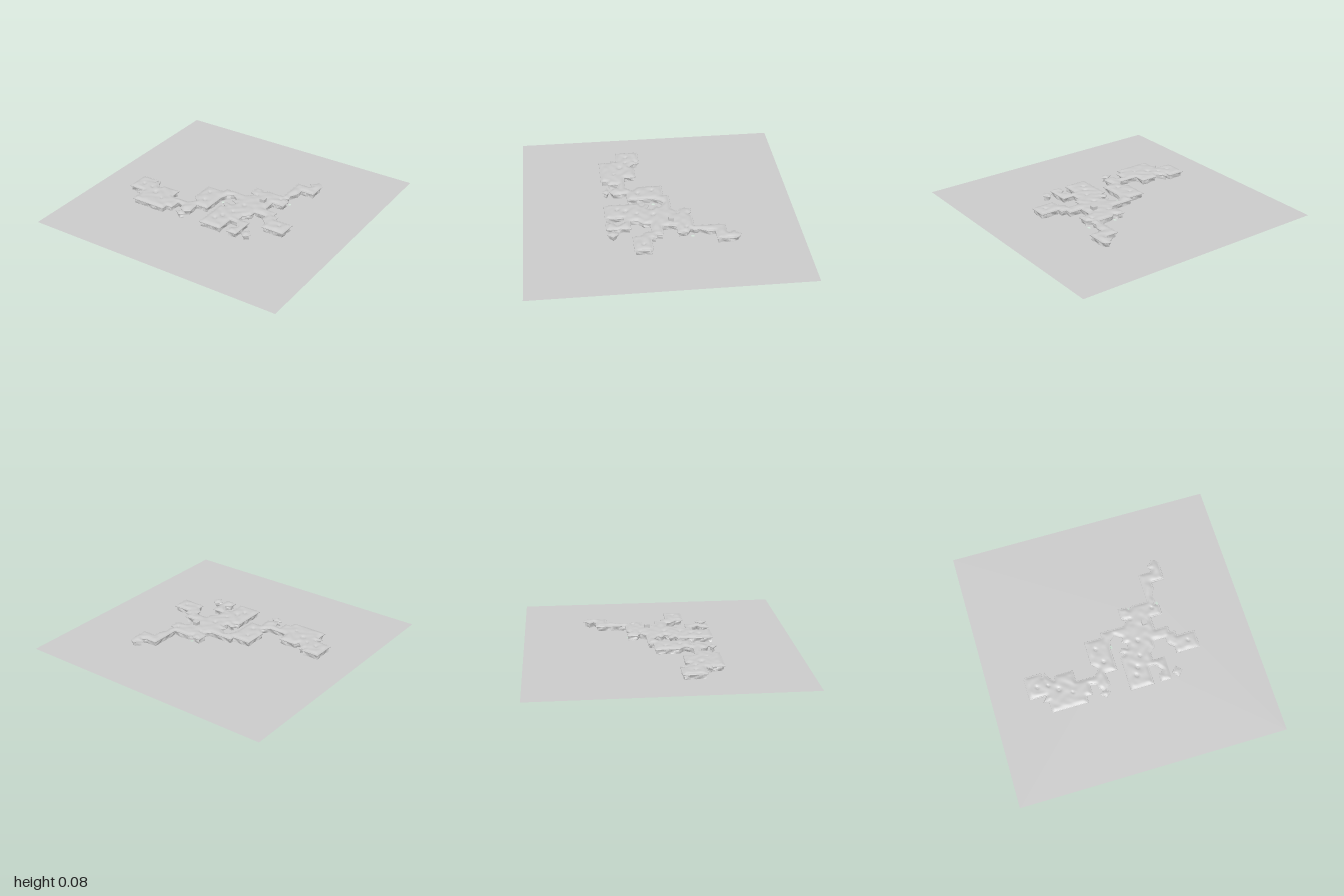
import * as THREE from 'three';
import { mergeVertices } from 'three/addons/utils/BufferGeometryUtils.js';

const STEP = 0.01;

// Outlines on the ground as x, z pairs in hundredths of a unit
const WEST = [
  12, -9, -9, -9, -9, -5, -22.5, -5, -22.5, 13, -18, 17.5, -22, 22.5, -32, 22.5, -36.5, 22,
  -36.5, 13.5, -50, 13.5, -52, 17, -55.5, 13.5, -57, 9, -59.5, 12.5, -59.5, 9, -73, 9, -73, 26.5,
  -60, 27, -63.5, 31, -59.5, 31.5, -59.5, 40.5, -32, 40.5, -32, 35.5, -27.5, 35.5, -27.5, 27.5,
  -23, 29, -22, 32.5, -18, 35, -13, 32, -14, 22.5, -5, 22.5, -5, 4, -3, -1, 0.5, -4, 5, -1, 12, 0,
];
const EAST = [
  44, -53, 45, -55, 48, -54, 50, -51, 50, -37, 40, -37, 40, -32, 37, -26, 38, -22, 36, -20, 40, -18,
  40, -10, 31, -10, 31, 0, 41, 0, 41, 5, 45, 5, 45, 9, 59, 9, 59, 22.5, 41, 22.5, 41, 17, 36.5, 13,
  36.5, 8.5, 27, 8.5, 27, 13, 22.5, 17, 22.5, 22.5, 31.5, 22.5, 31.5, 40.5, 23, 40.5, 23, 35, 27, 32,
  23, 27, 18, 27, 18, 40.5, 0, 40.5, 0, 14, 4, 12.5, 0.5, 10, 3, 7, 7, 8.5, 8.5, 5, 4, 3, 6, 0,
  5, -2, 5, -9, 9, -9, 13, -13, 9, -15, 9, -23, 15, -23, 17, -20.5, 20, -23, 32, -23, 32, -45.5,
  41, -45.5, 43, -47, 40, -50,
];
const STONES = [
  [-18, 34.5, -14, 37, -18, 40.5, -23, 37],
  [37, 31.5, 41, 36, 37, 40.5, 33, 36],
];
// Pits: x, z, radius
const PITS = [
  [-0.65, 0.19, 0.016], [-0.57, 0.2, 0.012], [-0.5, 0.25, 0.022], [-0.41, 0.3, 0.012],
  [-0.16, 0.03, 0.014], [-0.13, 0.14, 0.016], [0.155, -0.13, 0.016], [0.34, -0.17, 0.016],
  [0.16, 0.05, 0.018], [0.1, 0.25, 0.018], [0.075, 0.31, 0.016], [0.52, 0.155, 0.014], [0.14, 0.17, 0.012],
];

const toPoints = (a) => Array.from({ length: a.length / 2 },
  (_, i) => new THREE.Vector2(a[2 * i] / 100, a[2 * i + 1] / 100));

// Add points along an outline so that its walls can be roughened
function resample(points, step) {
  return points.flatMap((p, i) => {
    const q = points[(i + 1) % points.length];
    const n = Math.max(1, Math.round(p.distanceTo(q) / step));
    return Array.from({ length: n }, (_, k) => p.clone().lerp(q, k / n));
  });
}

// Distance to the outline, positive inside
function insideDistance(points, x, z) {
  let best = Infinity, inside = false;
  points.forEach((a, i) => {
    const b = points[(i + 1) % points.length];
    const dx = b.x - a.x, dz = b.y - a.y;
    const t = THREE.MathUtils.clamp(((x - a.x) * dx + (z - a.y) * dz) / (dx * dx + dz * dz), 0, 1);
    best = Math.min(best, Math.hypot(x - a.x - t * dx, z - a.y - t * dz));
    if ((a.y > z) !== (b.y > z) && x < a.x + ((z - a.y) / dz) * dx) inside = !inside;
  });
  return inside ? best : -best;
}

const rough = (x, y, z) =>
  (Math.sin(x * 61 + y * 90 + 2 * Math.sin(z * 43)) + Math.sin(z * 73 - y * 130 + 2 * Math.sin(x * 37))) / 2;

// Upright slab between two heights
function slab(points, bottom, top, options) {
  const shape = new THREE.Shape(points.map((p) => new THREE.Vector2(p.x, -p.y)));
  const geometry = new THREE.ExtrudeGeometry(shape, { depth: top - bottom, bevelEnabled: true, ...options });
  return geometry.rotateX(-Math.PI / 2).translate(0, bottom, 0);
}

export function createModel() {
  const model = new THREE.Group();
  const material = new THREE.MeshStandardMaterial({ color: 0xcccccc });
  const doubleSided = new THREE.MeshStandardMaterial({ color: 0xcccccc, side: THREE.DoubleSide });
  const add = (name, geometry, mat = material) => {
    const mesh = new THREE.Mesh(geometry, mat);
    mesh.name = name;
    model.add(mesh);
    return mesh;
  };

  // Flat ground with a few small gaps beside the rock
  const ground = new THREE.Shape([[-1, -1], [1, -1], [1, 1], [-1, 1]].map(([x, y]) => new THREE.Vector2(x, y)));
  for (const [x, z] of [[0.17, -0.22], [0.392, -0.21], [-0.04, 0.03]]) {
    ground.holes.push(new THREE.Path().absellipse(x, -z, 0.01, 0.014, 0, Math.PI * 2, true));
  }
  add('ground', new THREE.ShapeGeometry(ground, 4).rotateX(-Math.PI / 2), doubleSided);

  const regions = [WEST, EAST, ...STONES].map(toPoints);
  for (const points of regions) {
    // Craggy, slightly undercut wall
    const wall = slab(resample(points, 0.02), 0.001, 0.034,
      { steps: 4, bevelThickness: 0, bevelSize: 0, bevelOffset: -0.011, bevelSegments: 1 });
    const p = wall.attributes.position;
    for (let i = 0; i < p.count; i++) {
      const [x, y, z] = [p.getX(i), p.getY(i), p.getZ(i)];
      p.setX(i, x + 0.005 * rough(x, y, z));
      p.setZ(i, z + 0.005 * rough(z, y, x));
    }
    wall.computeVertexNormals();
    add('rockWall', wall);

    // Overhanging rim with rounded edges
    add('rockRim', slab(points, 0.037, 0.039,
      { bevelThickness: 0.004, bevelSize: 0.004, bevelOffset: -0.004, bevelSegments: 2 }));
  }

  // Bumpy, pitted top: grid cells that lie inside the outlines
  const height = (x, z, d) => {
    const pit = PITS.reduce((s, [px, pz, r]) =>
      s + Math.exp(-(((x - px) ** 2 + (z - pz) ** 2) / (r * r)) * 2), 0);
    const edge = THREE.MathUtils.smoothstep(d, 0, 0.03);
    return 0.0425 + edge * (0.0085 + 0.0022 * rough(x, 0, z)) - 0.014 * Math.min(pit, 1) * edge;
  };
  const vertices = [], indices = [], ids = new Map();
  const id = (i, j) => {
    const key = i * 1000 + j;
    if (!ids.has(key)) {
      const x = i * STEP, z = j * STEP;
      const d = Math.max(...regions.map((r) => insideDistance(r, x, z)));
      ids.set(key, d < 0.002 ? -1 : vertices.length / 3);
      if (d >= 0.002) vertices.push(x, height(x, z, d), z);
    }
    return ids.get(key);
  };
  for (let i = -75; i < 60; i++) {
    for (let j = -56; j < 42; j++) {
      const [a, b, c, d] = [id(i, j), id(i, j + 1), id(i + 1, j + 1), id(i + 1, j)];
      for (const t of a >= 0 && c >= 0 ? [[a, b, c], [a, c, d]] : [[a, b, d], [b, c, d]]) {
        if (Math.min(...t) >= 0) indices.push(...t);
      }
    }
  }
  const top = new THREE.BufferGeometry();
  top.setAttribute('position', new THREE.Float32BufferAttribute(vertices, 3));
  top.setIndex(indices);
  const crust = mergeVertices(top);
  crust.computeVertexNormals();
  add('rockTop', crust, doubleSided);

  // Small block standing on the rock
  add('block', new THREE.BoxGeometry(0.038, 0.036, 0.038)).position.set(0.248, 0.058, -0.068);
  return model;
}
